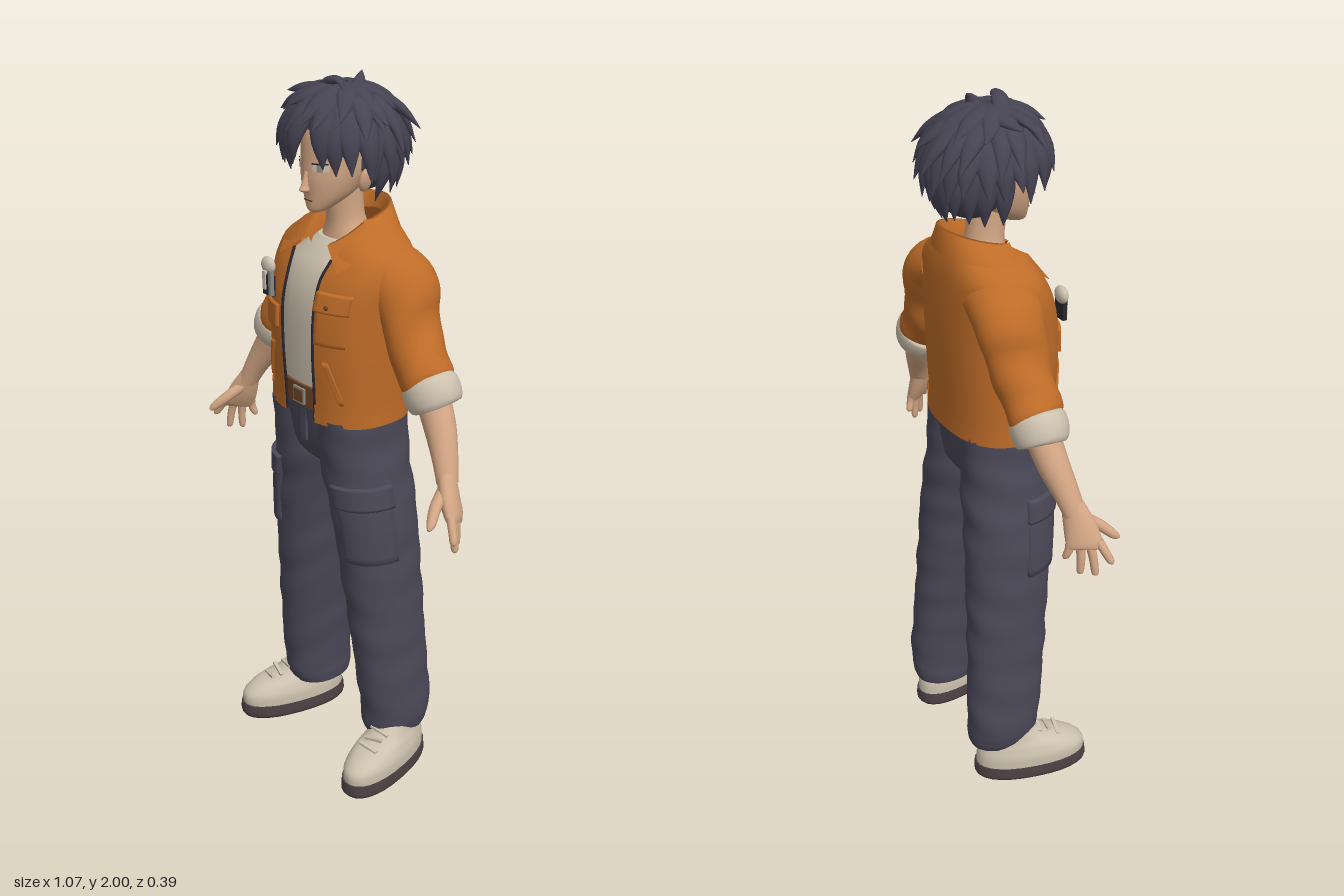
import * as THREE from 'three';

const { sin, cos, abs, sign, PI, min, max, floor, asin } = Math;
const V = (x, y, z) => new THREE.Vector3(x, y, z);
const colour = (name, hex) => Object.assign(new THREE.MeshStandardMaterial({ color: hex, side: THREE.DoubleSide }), { name });
const M = {
  jacket: colour('orange cloth', 0xbf6c28), skin: colour('skin', 0xd3a684), hair: colour('dark hair', 0x464353),
  trousers: colour('slate cloth', 0x4b4858), cream: colour('cream', 0xcdc1ae), sole: colour('sole brown', 0x4d4142),
  belt: colour('belt leather', 0x6e4527), metal: colour('grey metal', 0x8c8983), dark: colour('near black', 0x2a272d),
};

// Smooth interpolation through rows of numbers
const sample = (rows, t) => {
  const n = rows.length - 1, i = max(0, min(floor(t), n - 1)), f = t - i;
  const g = k => rows[max(0, min(n, k))];
  return rows[i].map((b, j) => {
    const a = g(i - 1)[j], c = g(i + 1)[j], d = g(i + 2)[j];
    return b + 0.5 * f * (c - a + f * (2 * a - 5 * b + 4 * c - d + f * (3 * (b - c) + d - a)));
  });
};
const atY = (rows, y) => {
  let i = 0;
  while (i < rows.length - 2 && rows[i + 1][1] < y) i++;
  const r = sample(rows, i + (y - rows[i][1]) / (rows[i + 1][1] - rows[i][1]));
  r[1] = y;
  return r;
};
const pow = (s, p) => sign(s) * abs(s) ** p;
const X = V(1, 0, 0), Z = V(0, 0, 1);
// Point on the superellipse ring [x, y, z, rx, rz]; angle 0 faces forward
const ringPoint = (r, a, p = 1, off = 0, S = X, F = Z) => V(r[0], r[1], r[2])
  .addScaledVector(S, (r[3] + off) * pow(sin(a), p)).addScaledVector(F, (r[4] + off) * pow(cos(a), p));

// Surface from a grid of points
function grid(name, mat, nu, nv, fn, wrap = false) {
  const pos = [], idx = [], w = wrap ? nu : nu + 1;
  for (let j = 0; j <= nv; j++) for (let i = 0; i < w; i++) pos.push(...fn(i, j).toArray());
  for (let j = 0; j < nv; j++) for (let i = 0; i < nu; i++) {
    const a = j * w + i, b = j * w + (i + 1) % w;
    idx.push(a, b, b + w, a, b + w, a + w);
  }
  const g = new THREE.BufferGeometry();
  g.setAttribute('position', new THREE.Float32BufferAttribute(pos, 3));
  g.setIndex(idx);
  g.computeVertexNormals();
  return Object.assign(new THREE.Mesh(g, mat), { name });
}

// Closed capped body through rings: level rings, or rings square to the path when fwd is given
function loft(name, mat, rows, { p = 1, fwd = null, sides = 28, steps = 5, ripple = 0 } = {}) {
  const n = (rows.length - 1) * steps;
  return grid(name, mat, sides, n + 4, (i, j) => {
    const t = max(0, min(n, j - 2)) / steps, r = sample(rows, t), a = i / sides * 2 * PI;
    if (j === 0 || j === n + 4) return V(r[0], r[1], r[2]);
    const k = 1 + ripple * sin(48 * r[1] + 2.2 * sin(a + 0.6)) * sin(9 * r[1] + a);
    r[3] *= k; r[4] *= k;
    if (!fwd) return ringPoint(r, a, p);
    const q = sample(rows, max(0, t - 0.05)), s = sample(rows, min(rows.length - 1, t + 0.05));
    const T = V(s[0] - q[0], s[1] - q[1], s[2] - q[2]).normalize();
    const F = fwd.clone().addScaledVector(T, -fwd.dot(T)).normalize();
    return ringPoint(r, a, p, 0, T.clone().cross(F), F);
  }, true);
}

// Raised panel that follows a lofted surface, with turned-down edges
function patch(name, mat, rows, p, a0, a1, y0, y1, off, slant = 0) {
  const N = 12, e = k => k === 0 ? 0 : k === N ? 1 : 0.01 + 0.98 * (k - 1) / (N - 2);
  return grid(name, mat, N, N, (i, j) => {
    const edge = i === 0 || j === 0 || i === N || j === N, v = e(j);
    return ringPoint(atY(rows, y0 + (y1 - y0) * v), a0 + (a1 - a0) * e(i) + slant * v, p, edge ? -0.006 : off);
  });
}
function box(name, mat, w, h, d, x, y, z, rz = 0) {
  const m = new THREE.Mesh(new THREE.BoxGeometry(w, h, d), mat);
  m.position.set(x, y, z); m.rotation.z = rz; m.name = name;
  return m;
}
function ball(name, mat, r, c, theta = PI) {
  const m = new THREE.Mesh(new THREE.SphereGeometry(1, 32, 20, 0, 2 * PI, 0, theta), mat);
  m.scale.set(...r); m.position.set(...c); m.name = name;
  return m;
}
const group = (name, ...kids) => { const g = new THREE.Group(); g.name = name; g.add(...kids); return g; };
// Left part plus its mirror image
const pair = (name, left) => {
  const right = left.clone(); right.scale.x = -1;
  left.name = 'left' + name; right.name = 'right' + name;
  return [left, right];
};

function makeJacket() {
  const P = 0.8;
  const rows = [[0, 1.112, 0, 0.198, 0.145], [0, 1.17, 0, 0.198, 0.146], [0, 1.3, 0, 0.203, 0.151], [0, 1.42, -0.004, 0.206, 0.15],
    [0, 1.5, -0.015, 0.212, 0.138], [0, 1.56, -0.03, 0.2, 0.12], [0, 1.6, -0.038, 0.148, 0.106], [0, 1.645, -0.04, 0.095, 0.092]];
  const edge = (y, s) => asin(min(0.95, ((s > 0 ? 0.07 : 0.045 + 0.04 * (y - 1.112)) + 0.5 * max(0, y - 1.53)) / atY(rows, y)[3]) ** (1 / P));
  const shell = (name, y0, y1, off, nv) => grid(name, M.jacket, 56, nv, (i, j) => {
    const y = y0 + (y1 - y0) * j / nv, a = edge(y, 1), b = 2 * PI - edge(y, -1);
    return ringPoint(atY(rows, y), a + (b - a) * i / 56, P, off);
  });
  const g = group('jacket', shell('jacketBody', 1.112, 1.64, 0, 32), shell('hemBand', 1.11, 1.163, 0.005, 4));
  for (const s of [1, -1]) {
    // Zip edge, pockets and slanted hand pockets
    const pts = [1.115, 1.2, 1.3, 1.42, 1.5, 1.55].map(y => ringPoint(atY(rows, y), s * edge(y, s), P, 0.001));
    const zip = new THREE.Mesh(new THREE.TubeGeometry(new THREE.CatmullRomCurve3(pts), 24, 0.004, 6), M.dark);
    zip.name = 'zip';
    const panel = (n, a, b, y0, y1, off, sl = 0) => g.add(patch(n, M.jacket, rows, P, s > 0 ? a : -b, s > 0 ? b : -a, y0, y1, off, s * sl));
    g.add(zip);
    panel('chestPocket', 0.29, 0.82, 1.335, s > 0 ? 1.44 : 1.4, 0.007);
    if (s > 0) panel('pocketFlap', 0.26, 0.85, 1.425, 1.475, 0.012);
    panel('handPocketWelt', 0.72, 0.82, 1.175, 1.29, 0.006, -0.3);
  }
  // Trinket clipped over the right chest pocket
  g.add(ball('pocketButton', M.belt, [0.007, 0.007, 0.004], [0.125, 1.445, 0.147]),
    box('trinketCase', M.dark, 0.04, 0.055, 0.012, -0.125, 1.44, 0.139), box('trinketPen', M.metal, 0.01, 0.07, 0.012, -0.108, 1.45, 0.145),
    ball('trinketTop', M.cream, [0.026, 0.024, 0.014], [-0.142, 1.488, 0.128]), box('trinketStem', M.cream, 0.012, 0.05, 0.008, -0.136, 1.452, 0.145));
  // Fold-over collar: inside edge, crest, outer edge
  g.add(grid('collar', M.jacket, 48, 3, (i, j) => {
    const a = 0.5 + (2 * PI - 1) * i / 48, c = cos(a), s = sin(a), k = max(0, (c - 0.3) / 0.7);
    if (j === 0) return V(0.082 * s, 1.59 - 0.04 * c - 0.03 * k, -0.038 + 0.088 * c + 0.012 * k);
    if (j === 1) return V(0.092 * s, 1.645 - 0.027 * c - 0.05 * k, -0.04 + 0.095 * c + 0.03 * k);
    if (j === 2) return V(0.104 * s, 1.643 - 0.028 * c - 0.05 * k, -0.038 + 0.107 * c + 0.03 * k);
    return V(0.152 * s + sign(s) * 0.055 * k, 1.6 - 0.01 * c - 0.08 * k, -0.03 + 0.122 * c + 0.036 * k);
  }));
  return g;
}

function makeArm() {
  const arm = group('arm',
    loft('sleeve', M.jacket, [[0.12, 1.52, -0.055, 0.07, 0.09], [0.182, 1.49, -0.057, 0.077, 0.097], [0.222, 1.405, -0.052, 0.067, 0.086],
      [0.262, 1.318, -0.045, 0.067, 0.078], [0.3, 1.262, -0.043, 0.07, 0.073], [0.32, 1.24, -0.042, 0.06, 0.066]], { fwd: Z, steps: 8, ripple: 0.06 }),
    loft('rolledCuff', M.cream, [[0.305, 1.258, -0.042, 0.064, 0.066], [0.312, 1.248, -0.042, 0.077, 0.074], [0.328, 1.222, -0.042, 0.078, 0.075],
      [0.342, 1.2, -0.041, 0.07, 0.068], [0.345, 1.195, -0.041, 0.056, 0.056]], { fwd: Z }),
    loft('forearm', M.skin, [[0.325, 1.225, -0.04, 0.045, 0.047], [0.37, 1.15, -0.03, 0.042, 0.042], [0.41, 1.08, -0.013, 0.032, 0.035], [0.435, 1.025, 0, 0.025, 0.03]], { fwd: Z }));
  // Hand with the thumb side turned forward and outward
  const F = V(0.55, 0, 0.83);
  arm.add(loft('palm', M.skin, [[0.425, 1.05, -0.003, 0.024, 0.029], [0.45, 0.995, 0.006, 0.025, 0.042], [0.472, 0.95, 0.009, 0.02, 0.047], [0.476, 0.938, 0.009, 0.012, 0.042]], { fwd: F }));
  for (const s of [-0.036, -0.012, 0.012, 0.036]) {
    const x = 0.472 + 0.55 * s, z = 0.009 + 0.83 * s, l = 0.09 - 35 * s * s;
    arm.add(loft('finger', M.skin, [[x, 0.96, z, 0.012, 0.0125], [x + 0.01 + 0.25 * s, 0.955 - l * 0.5, z + 0.003 + 0.2 * s, 0.011, 0.0115],
      [x + 0.014 + 0.5 * s, 0.955 - l, z + 0.004 + 0.4 * s, 0.0095, 0.0095], [x + 0.015 + 0.5 * s, 0.948 - l, z + 0.004 + 0.4 * s, 0.003, 0.003]], { fwd: F, sides: 10 }));
  }
  arm.add(loft('thumb', M.skin, [[0.44, 1.015, 0.015, 0.016, 0.018], [0.457, 0.985, 0.06, 0.015, 0.016], [0.478, 0.955, 0.094, 0.012, 0.012], [0.484, 0.946, 0.108, 0.004, 0.004]], { fwd: X, sides: 12 }));
  return arm;
}

function makeLeg() {
  const rows = [[0.175, 0.11, -0.065, 0.07, 0.093], [0.18, 0.14, -0.062, 0.078, 0.103], [0.183, 0.2, -0.06, 0.082, 0.11], [0.169, 0.4, -0.045, 0.085, 0.115],
    [0.15, 0.6, -0.032, 0.093, 0.12], [0.13, 0.8, -0.02, 0.1, 0.125], [0.108, 0.92, -0.012, 0.105, 0.128], [0.1, 1.0, -0.005, 0.1, 0.131], [0.095, 1.12, 0, 0.096, 0.135]];
  const shoe = group('shoe',
    loft('sole', M.sole, [[0, 0, 0, 0.07, 0.165], [0, 0.012, 0, 0.076, 0.172], [0, 0.043, 0, 0.074, 0.17]], { p: 0.88 }),
    loft('upper', M.cream, [[0, 0.038, 0, 0.071, 0.166], [0, 0.075, -0.001, 0.071, 0.163], [0, 0.105, -0.018, 0.063, 0.138], [0, 0.13, -0.05, 0.054, 0.095], [0, 0.17, -0.07, 0.048, 0.068]], { p: 0.9 }));
  for (let k = 0; k < 3; k++) shoe.add(box('lace', M.cream, 0.06, 0.008, 0.01, 0, 0.145 - 0.012 * k, 0.022 + 0.028 * k, k % 2 ? 0.2 : -0.2));
  shoe.position.set(0.219, 0, 0.014);
  shoe.rotation.y = 0.24;
  return group('leg', loft('trouserLeg', M.trousers, rows, { p: 0.92, steps: 10, ripple: 0.026 }), shoe,
    patch('cargoPocket', M.trousers, rows, 0.92, 0.08, 1.5, 0.705, 0.9, 0.008), patch('cargoFlap', M.trousers, rows, 0.92, 0.05, 1.53, 0.87, 0.935, 0.013));
}

function makeHead() {
  const head = group('head',
    loft('face', M.skin, [[0, 1.657, 0.078, 0.012, 0.014], [0, 1.667, 0.066, 0.03, 0.034], [0, 1.7, 0.035, 0.057, 0.069], [0, 1.74, 0.013, 0.074, 0.096],
      [0, 1.78, -0.003, 0.083, 0.111], [0, 1.84, -0.012, 0.088, 0.117], [0, 1.88, -0.018, 0.084, 0.11], [0, 1.92, -0.02, 0.065, 0.085], [0, 1.95, -0.02, 0.025, 0.035]]),
    loft('neck', M.skin, [[0, 1.53, -0.03, 0.1, 0.075], [0, 1.585, -0.03, 0.072, 0.064], [0, 1.63, -0.02, 0.05, 0.052], [0, 1.71, -0.01, 0.048, 0.055]]),
    loft('nose', M.skin, [[0, 1.71, 0.105, 0.006, 0.006], [0, 1.718, 0.112, 0.012, 0.017], [0, 1.73, 0.11, 0.009, 0.013], [0, 1.765, 0.105, 0.006, 0.006]], { sides: 12 }),
    box('mouth', M.belt, 0.03, 0.003, 0.008, 0, 1.69, 0.1));
  // Eye plates wrapped on the face
  const strip = (name, mat, x0, x1, y0, y1, o) => grid(name, mat, 8, 2, (i, j) => {
    const x = x0 + (x1 - x0) * i / 8;
    return V(x, y0 + (y1 - y0) * j / 2, -0.003 + 0.111 * Math.sqrt(1 - (x / 0.084) ** 2) + o);
  });
  for (const s of [1, -1]) {
    const [a, b, c, d] = s > 0 ? [0.024, 0.058, 0.035, 0.048] : [-0.058, -0.024, -0.048, -0.035];
    head.add(strip('eyeWhite', M.cream, a, b, 1.768, 1.786, 0.002), strip('iris', M.metal, c, d, 1.768, 1.787, 0.004), strip('eyelid', M.dark, a, b, 1.786, 1.79, 0.005));
    const ear = ball('ear', M.skin, [0.012, 0.032, 0.02], [s * 0.093, 1.742, -0.008]);
    ear.rotation.z = -s * 0.25;
    head.add(ear);
  }
  return head;
}

function makeHair() {
  const hair = group('hair', ball('hairCap', M.hair, [0.12, 0.125, 0.135], [0, 1.84, -0.012], 1.3), ball('hairBack', M.hair, [0.106, 0.11, 0.1], [0, 1.8, -0.062]));
  // Pointed lock that runs over the scalp from polar angle f0 to f1 and lifts off at its tip
  const lock = (az, f0, f1, lift, w, twist = 0) => {
    const at = t => {
      const f = f0 + (f1 - f0) * t, a = az + twist * t, k = 1 + lift * t * t;
      return [0.123 * sin(f) * sin(a) * k, 1.84 + 0.125 * cos(f) * k, -0.01 + 0.137 * sin(f) * cos(a) * k];
    };
    const m = at(0.5), rows = [0, 0.35, 0.7, 1].map((t, k) => [...at(t), w * [0.6, 1, 0.7, 0.03][k], 0.5 * w * [0.6, 1, 0.8, 0.05][k]]);
    hair.add(loft('hairLock', M.hair, rows, { fwd: V(m[0], m[1] - 1.84, m[2] + 0.01).normalize(), sides: 10, steps: 4 }));
  };
  const jit = k => { const v = sin(k * 127.1) * 43758.5; return v - floor(v) - 0.5; };
  // Fringe, parted just left of centre
  for (const [a, f, l] of [[-1.3, 2.05, 0.45], [-1.0, 1.95, 0.38], [-0.72, 2.05, 0.28], [-0.45, 1.95, 0.24], [-0.2, 2.08, 0.2], [-0.02, 1.95, 0.18],
    [0.52, 1.95, 0.2], [0.75, 2.05, 0.25], [1.0, 1.98, 0.38], [1.3, 2.08, 0.48]]) lock(a, 0.5, f, l, 0.038, a < 0 ? -0.08 : 0.08);
  // Crown, middle, lower back and nape layers
  for (let k = 0; k < 11; k++) lock(k * 0.571 + jit(k) * 0.2, 0.1, 1.1 + 0.3 * jit(k + 9), 0.25, 0.032, -0.3);
  for (let k = 0; k < 18; k++) {
    const a = -PI + k * PI / 9 + 0.2 * jit(k + 20), front = cos(a) > 0.5;
    lock(a, 0.4, (front ? 1.3 : 1.55) + 0.4 * jit(k + 40), (front ? 0.2 : 0.45) + 0.15 * jit(k + 50), 0.031, -0.2);
  }
  for (let k = 0; k < 13; k++) lock(PI + (k - 6) * 0.27, 0.9, 1.98 + 0.3 * jit(k + 60), 0.42 + 0.1 * jit(k + 70), 0.033, 0.1 * jit(k));
  for (let k = 0; k < 11; k++) lock(PI + (k - 5) * 0.27, 1.3, 2.42 + 0.25 * jit(k + 80), 0.5, 0.032, 0.1 * jit(k));
  // Stray tufts: swept to the right side and curling at the top
  lock(-1.0, 0.3, 1.1, 0.6, 0.028, -0.35);
  lock(-0.7, 0.4, 1.3, 0.48, 0.03, -0.5);
  lock(-1.7, 0.3, 1.0, 0.45, 0.028, 0.2);
  lock(-0.35, 0.5, 1.75, 0.32, 0.034, -0.45);
  lock(1.6, 0.5, 1.3, 0.45, 0.03);
  const tuft = (...rows) => hair.add(loft('topTuft', M.hair, rows, { fwd: Z, sides: 10 }));
  tuft([-0.06, 1.945, 0, 0.02, 0.03], [-0.01, 1.975, 0.02, 0.014, 0.024], [0.035, 1.984, 0.03, 0.008, 0.013], [0.06, 1.965, 0.035, 0.001, 0.001]);
  tuft([0.03, 1.94, -0.02, 0.024, 0.024], [0.03, 1.975, -0.04, 0.014, 0.016], [0.015, 1.997, -0.06, 0.001, 0.001]);
  return hair;
}

export function createModel() {
  return group('figure',
    makeHead(), makeHair(), makeJacket(),
    loft('shirt', M.cream, [[0, 1.14, 0, 0.17, 0.127], [0, 1.3, 0, 0.178, 0.132], [0, 1.42, -0.004, 0.18, 0.133], [0, 1.5, -0.012, 0.17, 0.12],
      [0, 1.55, -0.026, 0.12, 0.1], [0, 1.58, -0.03, 0.075, 0.074]], { p: 0.85 }),
    loft('belt', M.belt, [[0, 1.135, 0, 0.176, 0.137], [0, 1.195, 0, 0.176, 0.137]], { p: 0.8, steps: 1 }),
    box('buckle', M.metal, 0.046, 0.044, 0.008, 0, 1.165, 0.139), box('buckleInset', M.belt, 0.036, 0.034, 0.008, 0, 1.165, 0.141),
    loft('hips', M.trousers, [[0, 0.935, -0.012, 0.06, 0.06], [0, 0.975, -0.01, 0.15, 0.105], [0, 1.03, -0.004, 0.188, 0.123], [0, 1.14, 0, 0.189, 0.136]], { p: 0.85 }),
    box('flySeam', M.trousers, 0.022, 0.1, 0.008, 0.008, 1.085, 0.13),
    ...pair('Arm', makeArm()), ...pair('Leg', makeLeg()));
}
